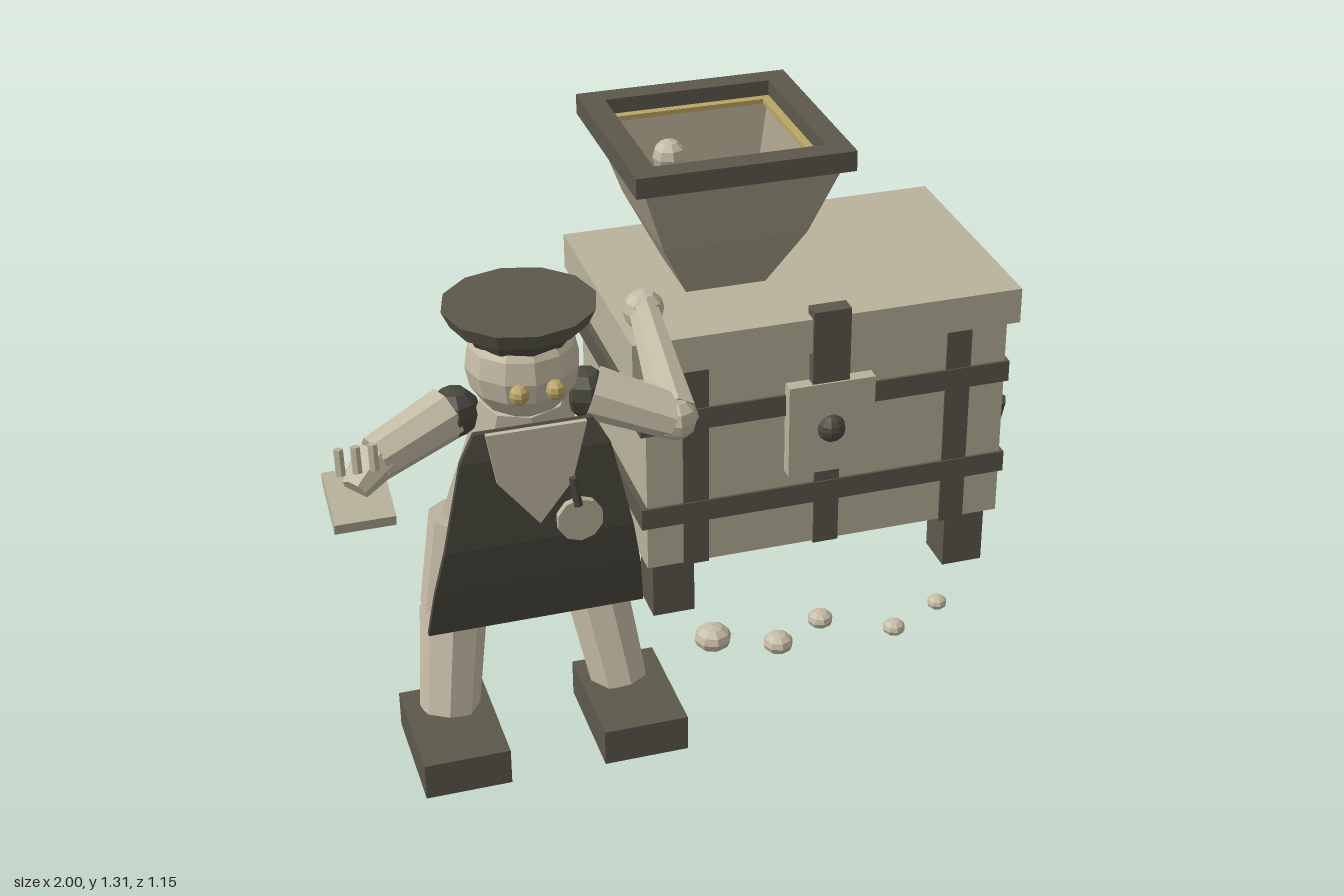
import * as THREE from 'three';

const mat = (name, color, side = THREE.FrontSide) => {
  const m = new THREE.MeshStandardMaterial({ color, flatShading: true, side });
  m.name = name;
  return m;
};

export function createModel() {
  const wood = mat('wood', 0xb9b39b);
  const iron = mat('iron', 0x5c594b);
  const dark = mat('darkIron', 0x4a483d);
  const cloth = mat('cloth', 0xc4bba5);
  const tin = mat('tin', 0xa89f8a, THREE.DoubleSide);
  const gold = mat('gold', 0xbaa565);

  const root = new THREE.Group();
  root.name = 'grinderAndMiller';
  const group = (name) => {
    const g = new THREE.Group();
    g.name = name;
    root.add(g);
    return g;
  };
  const add = (parent, name, geo, material, x = 0, y = 0, z = 0) => {
    const m = new THREE.Mesh(geo, material);
    m.name = name;
    m.position.set(x, y, z);
    parent.add(m);
    return m;
  };
  // Box given by its limits on each axis
  const box = (parent, name, material, x0, x1, y0, y1, z0, z1) =>
    add(parent, name, new THREE.BoxGeometry(x1 - x0, y1 - y0, z1 - z0), material,
      (x0 + x1) / 2, (y0 + y1) / 2, (z0 + z1) / 2);
  const ball = (parent, name, material, r, x, y, z, w = 8, h = 6) =>
    add(parent, name, new THREE.SphereGeometry(r, w, h), material, x, y, z);
  // Tapered cylinder from point a to point b
  const limb = (parent, name, material, a, b, ra, rb, sides = 8) => {
    const p = new THREE.Vector3(...a), q = new THREE.Vector3(...b);
    const d = q.clone().sub(p);
    const m = add(parent, name, new THREE.CylinderGeometry(rb, ra, d.length(), sides), material);
    m.position.copy(p).add(q).multiplyScalar(0.5);
    m.quaternion.setFromUnitVectors(new THREE.Vector3(0, 1, 0), d.normalize());
    return m;
  };

  // Chest
  const chest = group('chest');
  box(chest, 'chestBody', wood, -0.2, 0.71, 0.285, 0.82, -0.51, 0.07);
  box(chest, 'lid', wood, -0.235, 0.735, 0.82, 0.91, -0.535, 0.09);
  for (const y of [0.4, 0.655]) box(chest, 'band', iron, -0.215, 0.72, y, y + 0.055, -0.517, 0.077);
  for (const x of [-0.11, 0.222, 0.555]) box(chest, 'strap', iron, x, x + 0.064, 0.28, 0.82, -0.514, 0.074);
  for (const x of [-0.18, 0.585])
    for (const z of [-0.487, -0.065]) box(chest, 'chestLeg', iron, x, x + 0.105, 0.125, 0.285, z, z + 0.108);
  box(chest, 'hasp', iron, 0.205, 0.298, 0.73, 0.93, 0.055, 0.098);
  box(chest, 'lockPlate', wood, 0.145, 0.362, 0.5, 0.74, 0.07, 0.103);
  ball(chest, 'lockKnob', dark, 0.036, 0.252, 0.618, 0.1, 10, 8);

  // Hopper
  const hopper = group('hopper');
  hopper.position.set(0.063, 0, -0.236);
  const profile = [[0.097, 0.905], [0.177, 1.065], [0.24, 1.25], [0.205, 1.25], [0.165, 1.07], [0.085, 0.915]]
    .map(([half, y]) => new THREE.Vector2(half * Math.SQRT2, y));
  add(hopper, 'funnel', new THREE.LatheGeometry(profile, 4, Math.PI / 4), tin);
  const frame = (name, material, outer, inner, h, y) => {
    const sq = (Cls, r) => new Cls([[-r, -r], [r, -r], [r, r], [-r, r]].map((p) => new THREE.Vector2(...p)));
    const s = sq(THREE.Shape, outer);
    s.holes.push(sq(THREE.Path, inner));
    const g = new THREE.ExtrudeGeometry(s, { depth: h, bevelEnabled: false }).rotateX(-Math.PI / 2);
    add(hopper, name, g, material, 0, y, 0);
  };
  frame('rim', iron, 0.264, 0.207, 0.05, 1.245);
  frame('rimLining', gold, 0.208, 0.186, 0.012, 1.245);
  box(hopper, 'hopperFloor', gold, -0.084, 0.084, 0.912, 0.92, -0.084, 0.084);
  ball(hopper, 'goldNugget', gold, 0.06, 0, 0.96, 0);
  for (const [x, y, z, r] of [[-0.143, 1.275, 0.115, 0.04], [-0.03, 1.06, -0.075, 0.03], [0.04, 1.19, 0.148, 0.03]])
    ball(hopper, 'hopperPebble', cloth, r, x, y, z);

  // Side ring and crank
  const crank = group('crank');
  add(crank, 'ring', new THREE.TorusGeometry(0.083, 0.018, 8, 16).rotateY(Math.PI / 2), dark, 0.757, 0.505, -0.293);
  const path = new THREE.CatmullRomCurve3([[0.818, 0.495, -0.295], [0.84, 0.39, -0.335], [0.875, 0.28, -0.39],
    [0.915, 0.22, -0.45], [0.95, 0.205, -0.52]].map((p) => new THREE.Vector3(...p)));
  add(crank, 'crankArm', new THREE.TubeGeometry(path, 10, 0.023, 8), dark);
  ball(crank, 'crankEnd', dark, 0.023, 0.818, 0.495, -0.295);
  add(crank, 'spike', new THREE.ConeGeometry(0.05, 0.24, 8).rotateX(Math.PI), dark, 0.95, 0.125, -0.527);

  // Pebbles on the ground
  const pebbles = group('pebbles');
  for (const [x, z, r] of [[-0.083, 0.22, 0.046], [0.063, 0.28, 0.037], [0.195, 0.21, 0.032],
    [0.355, 0.295, 0.028], [0.497, 0.222, 0.025]])
    ball(pebbles, 'pebble', cloth, r, x, 0.127 + r * 0.7, z).scale.y = 0.72;

  // Miller, centred on his own x = 0
  const miller = group('miller');
  miller.position.x = -0.557;
  const torso = limb(miller, 'torso', cloth, [0, 0.6, 0.27], [0, 0.99, 0.375], 0.15, 0.075);
  torso.scale.x = 1.3;
  limb(miller, 'neck', cloth, [0, 0.94, 0.365], [0, 1.02, 0.385], 0.07, 0.06);
  ball(miller, 'head', cloth, 0.125, 0, 1.08, 0.383, 12, 8);
  limb(miller, 'capBand', dark, [0, 1.14, 0.378], [0, 1.178, 0.378], 0.112, 0.128, 10);
  limb(miller, 'capTop', iron, [0, 1.175, 0.375], [0, 1.212, 0.375], 0.15, 0.167, 12);

  for (const s of [-1, 1]) {
    ball(miller, 'eye', gold, 0.022, s * 0.039, 1.07, 0.518);
    const hip = [s * 0.125, 0.66, 0.292], knee = [s * 0.165, 0.43, 0.3], ankle = [s * 0.2, 0.2, 0.365];
    limb(miller, 'thigh', cloth, hip, knee, 0.082, 0.076);
    ball(miller, 'kneeJoint', cloth, 0.074, ...knee);
    limb(miller, 'shin', cloth, knee, ankle, 0.076, 0.068);
    box(miller, 'boot', iron, s * 0.205 - 0.097, s * 0.205 + 0.097, 0.125, 0.212, 0.29, 0.578);
    ball(miller, 'shoulder', dark, 0.057, s * 0.145, 0.957, 0.345);
  }

  // Apron: a thin sheet bent along rows of [y, z, half width]
  const rows = [[0.96, 0.458, 0.13], [0.9, 0.472, 0.165], [0.69, 0.478, 0.21], [0.57, 0.45, 0.232], [0.445, 0.415, 0.246]];
  const sheet = new THREE.BoxGeometry(1, 1, 0.014, 1, 4, 1);
  const pos = sheet.attributes.position;
  for (let i = 0; i < pos.count; i++) {
    const [y, z, half] = rows[Math.round((0.5 - pos.getY(i)) * 4)];
    pos.setXYZ(i, pos.getX(i) * 2 * half, y, z + pos.getZ(i));
  }
  add(miller, 'apron', sheet, dark);

  // Neckerchief and hanging scoop
  const scarf = new THREE.Shape([[-0.11, 0.97], [-0.09, 0.85], [0, 0.735], [0.075, 0.83], [0.11, 0.97]]
    .map((p) => new THREE.Vector2(...p)));
  add(miller, 'neckerchief', new THREE.ExtrudeGeometry(scarf, { depth: 0.012, bevelEnabled: false }), cloth, 0, 0, 0.482);
  add(miller, 'scoopDisc', new THREE.CylinderGeometry(0.052, 0.052, 0.016, 10).rotateX(Math.PI / 2), wood, 0.087, 0.732, 0.494);
  limb(miller, 'scoopHandle', dark, [0.083, 0.77, 0.5], [0.073, 0.84, 0.5], 0.011, 0.009, 6);

  // Left arm reaching to the chest
  const elbow = [0.33, 0.895, 0.41];
  limb(miller, 'upperArm', cloth, [0.16, 0.955, 0.35], elbow, 0.06, 0.05);
  ball(miller, 'elbow', cloth, 0.05, ...elbow);
  limb(miller, 'forearm', cloth, elbow, [0.373, 0.962, 0.01], 0.053, 0.036);
  ball(miller, 'hand', cloth, 0.05, 0.372, 0.96, 0.015);

  // Right arm held out with an open palm
  const bend = [-0.33, 0.905, 0.405];
  limb(miller, 'upperArm', cloth, [-0.16, 0.955, 0.345], bend, 0.06, 0.052);
  limb(miller, 'forearm', cloth, bend, [-0.385, 0.865, 0.45], 0.052, 0.03);
  const palm = add(miller, 'palm', new THREE.BoxGeometry(0.13, 0.03, 0.145), wood, -0.378, 0.84, 0.447);
  palm.rotation.x = 0.36;
  for (const x of [-0.415, -0.38, -0.344]) limb(miller, 'finger', wood, [x, 0.92, 0.475], [x, 0.977, 0.465], 0.011, 0.011, 6);

  return root;
}
